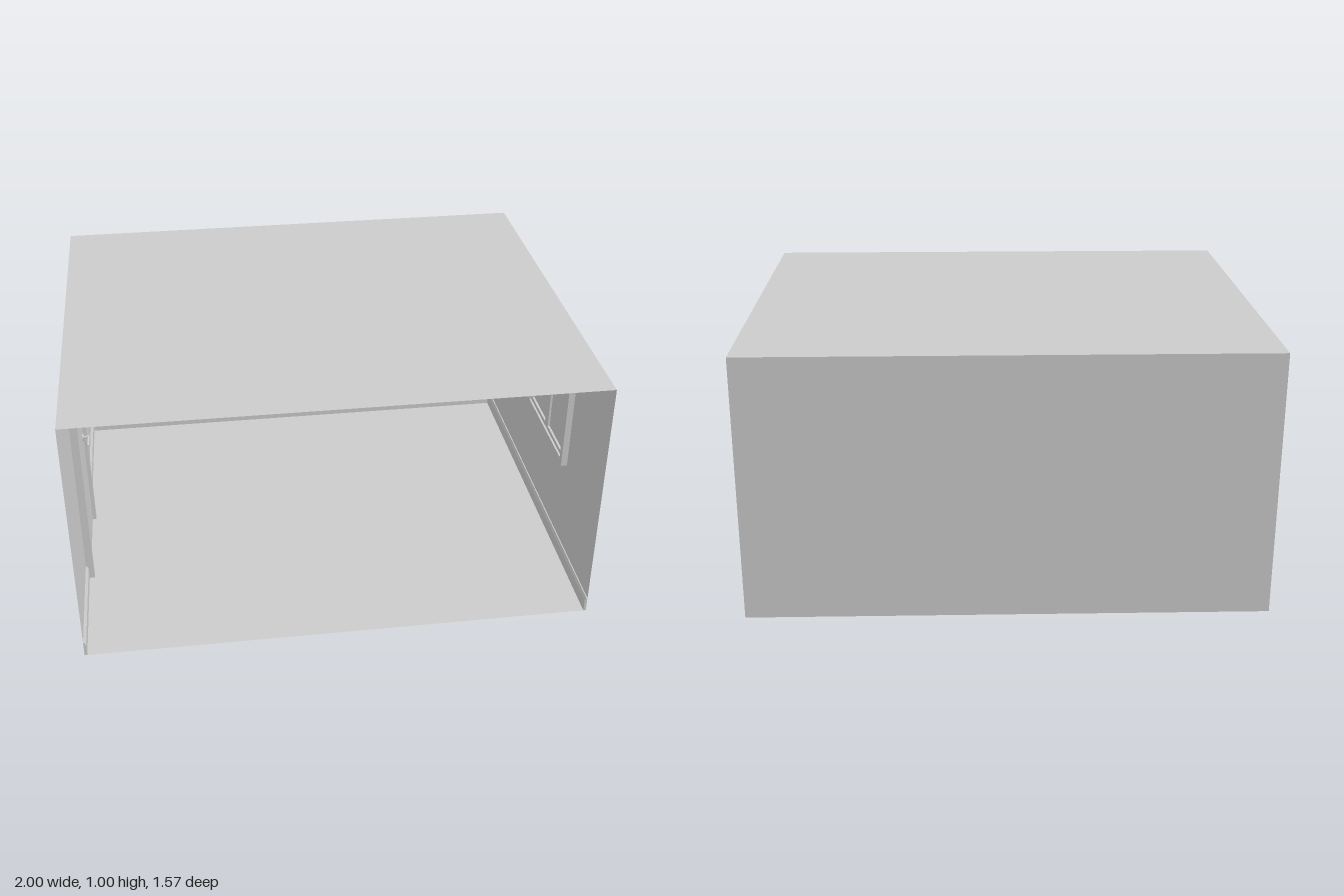
import * as THREE from 'three';

const W0 = -1, W1 = 0.93, D = 0.785, H = 1; // room bounds
const grey = new THREE.MeshStandardMaterial({ color: 0xcccccc, side: THREE.DoubleSide, flatShading: true });
const smooth = new THREE.MeshStandardMaterial({ color: 0xcccccc });

function add(parent, name, geometry, material = grey) {
  const mesh = new THREE.Mesh(geometry, material);
  mesh.name = name;
  parent.add(mesh);
  return mesh;
}

// Box given by its limits on each axis
function box(parent, name, [x0, x1], [y0, y1], [z0, z1]) {
  const mesh = add(parent, name, new THREE.BoxGeometry(x1 - x0, y1 - y0, z1 - z0));
  mesh.position.set((x0 + x1) / 2, (y0 + y1) / 2, (z0 + z1) / 2);
  return mesh;
}

function cylinder(parent, name, radius, length, axis, position) {
  const geo = new THREE.CylinderGeometry(radius, radius, length, 16);
  if (axis === 'x') geo.rotateZ(Math.PI / 2);
  if (axis === 'z') geo.rotateX(Math.PI / 2);
  add(parent, name, geo, smooth).position.set(...position);
}

// Rectangle in the z-y plane, as a shape or as a hole
function rect(Kind, z0, z1, y0, y1) {
  return new Kind([[z0, y0], [z1, y0], [z1, y1], [z0, y1]].map(([z, y]) => new THREE.Vector2(-z, y)));
}

// Side wall facing +x at the given x, with one rectangular opening
function sideWall(parent, name, x, opening) {
  const shape = rect(THREE.Shape, D, -D, 0, H);
  shape.holes.push(rect(THREE.Path, ...opening));
  const mesh = add(parent, name, new THREE.ShapeGeometry(shape));
  mesh.rotation.y = Math.PI / 2;
  mesh.position.x = x;
}

// Rectangular frame in the z-y plane, with any number of openings
function frame(parent, name, [x0, x1], outer, openings) {
  const shape = rect(THREE.Shape, ...outer);
  for (const o of openings) shape.holes.push(rect(THREE.Path, ...o));
  const geo = new THREE.ExtrudeGeometry(shape, { depth: x1 - x0, bevelEnabled: false });
  const mesh = add(parent, name, geo);
  mesh.rotation.y = Math.PI / 2;
  mesh.position.x = x0;
}

// Skirting board with a chamfered top, running along local z from the wall at x = 0
function skirting(parent, name, length, position, turn) {
  const profile = new THREE.Shape([[0, 0], [0.01, 0], [0.01, 0.048], [0.004, 0.06], [0, 0.06]]
    .map(([x, y]) => new THREE.Vector2(x, y)));
  const geo = new THREE.ExtrudeGeometry(profile, { depth: length, bevelEnabled: false });
  geo.translate(0, 0, -length / 2);
  const mesh = add(parent, name, geo);
  mesh.position.set(...position);
  mesh.rotation.y = turn;
}

function buildShell() {
  const shell = new THREE.Group();
  shell.name = 'roomShell';
  const w = W1 - W0, cx = (W0 + W1) / 2;
  for (const [name, y] of [['floor', 0], ['ceiling', H]]) {
    const mesh = add(shell, name, new THREE.PlaneGeometry(w, 2 * D).rotateX(-Math.PI / 2));
    mesh.position.set(cx, y, 0);
  }
  add(shell, 'backWall', new THREE.PlaneGeometry(w, H)).position.set(cx, H / 2, -D);
  sideWall(shell, 'doorWall', W0, [0.31, -0.07, 0, 0.85]);
  sideWall(shell, 'windowWall', W1, [0.38, -0.1, 0.425, 0.825]);

  // Skirting boards, broken at the door
  skirting(shell, 'backSkirting', w, [cx, 0, -D], -Math.PI / 2);
  skirting(shell, 'windowWallSkirting', 2 * D, [W1, 0, 0], Math.PI);
  for (const [z0, z1] of [[-D, -0.09], [0.33, D]]) {
    skirting(shell, 'doorWallSkirting', z1 - z0, [W0, 0, (z0 + z1) / 2], 0);
  }
  return shell;
}

function buildDoor() {
  const door = new THREE.Group();
  door.name = 'door';
  box(door, 'doorLeaf', [-0.998, -0.985], [0.002, 0.85], [-0.067, 0.307]);
  // Casing: two posts and a head
  for (const [z0, z1] of [[-0.09, -0.066], [0.306, 0.33]]) {
    box(door, 'doorPost', [W0, -0.97], [0, 0.875], [z0, z1]);
  }
  box(door, 'doorHead', [W0, -0.97], [0.848, 0.875], [-0.066, 0.306]);
  // Lever handle
  cylinder(door, 'handleRose', 0.014, 0.005, 'x', [-0.983, 0.44, -0.035]);
  cylinder(door, 'handleNeck', 0.005, 0.025, 'x', [-0.972, 0.44, -0.035]);
  cylinder(door, 'handleLever', 0.005, 0.075, 'z', [-0.962, 0.44, -0.003]);
  return door;
}

function buildWindow() {
  const win = new THREE.Group();
  win.name = 'window';
  const inner = [0.365, -0.085, 0.44, 0.81];
  const panes = [[0.35, 0.16, 0.457, 0.795], [0.122, -0.072, 0.457, 0.795]];
  frame(win, 'windowCasing', [0.905, 0.945], [0.39, -0.11, 0.415, 0.835], [inner]);
  frame(win, 'windowSash', [0.913, 0.936], inner, panes);
  for (const [z0, z1, y0, y1] of panes) box(win, 'windowPane', [0.922, 0.926], [y0, y1], [z1, z0]);
  box(win, 'windowSill', [0.945, 1], [0.415, 0.421], [-0.11, 0.387]);
  // Turn handle on the inside of the middle bar
  box(win, 'handlePlate', [0.906, 0.913], [0.6, 0.655], [0.132, 0.15]);
  cylinder(win, 'handleNeck', 0.005, 0.022, 'x', [0.899, 0.628, 0.141]);
  cylinder(win, 'handleLever', 0.005, 0.06, 'z', [0.891, 0.628, 0.116]);
  return win;
}

export function createModel() {
  const model = new THREE.Group();
  model.name = 'room';
  model.add(buildShell(), buildDoor(), buildWindow());
  return model;
}
